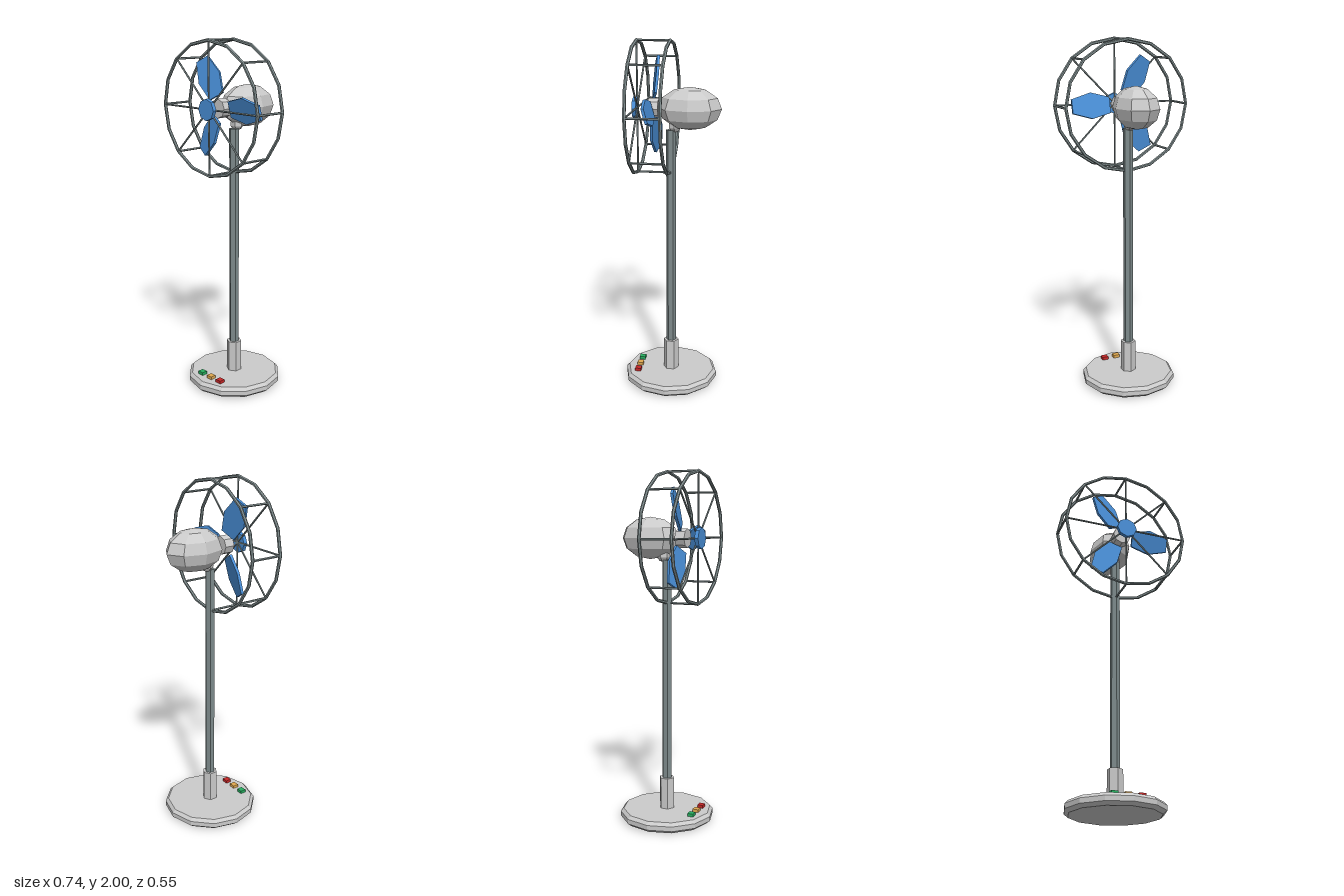
import * as THREE from 'three';

const paint = (color, extra = {}) => new THREE.MeshStandardMaterial({ color, flatShading: true, ...extra });
const grey = paint(0xcccccc), metal = paint(0x7f8c8d), blue = paint(0x4a90d9);
const FAN_Y = 1.63, RING_R = 0.362, BACK_Z = 0.005, FRONT_Z = 0.188;

function add(parent, name, geometry, material, x = 0, y = 0, z = 0) {
  const mesh = new THREE.Mesh(geometry, material);
  mesh.name = name;
  mesh.position.set(x, y, z);
  parent.add(mesh);
  return mesh;
}

// Cylinder whose axis runs along z
const disc = (r, depth, sides) => new THREE.CylinderGeometry(r, r, depth, sides).rotateX(Math.PI / 2);

// Pitched hexagonal blade pointing along +x
function bladeGeometry() {
  const outline = [[0.07, -0.045], [0.18, -0.073], [0.293, -0.04], [0.293, 0.04], [0.18, 0.073], [0.07, 0.045]];
  const shape = new THREE.Shape(outline.map(([x, y]) => new THREE.Vector2(x, y)));
  return new THREE.ExtrudeGeometry(shape, { depth: 0.015, bevelEnabled: false })
    .translate(0, 0, -0.0075)
    .rotateX(0.27);
}

export function createModel() {
  const model = new THREE.Group();
  model.name = 'standingFan';

  // Base with bevelled rim
  const rim = [[0, 0], [0.25, 0], [0.272, 0.018], [0.272, 0.045], [0.255, 0.063], [0, 0.063]];
  add(model, 'base', new THREE.LatheGeometry(rim.map(([r, y]) => new THREE.Vector2(r, y)), 12), grey);

  // Control buttons
  [['greenButton', 0x27ae60], ['orangeButton', 0xe0a850], ['redButton', 0xc62828]].forEach(([name, color], i) => {
    add(model, name, new THREE.BoxGeometry(0.037, 0.025, 0.034), paint(color), (i - 1) * 0.075, 0.068, 0.187);
  });

  // Stand
  add(model, 'collar', new THREE.CylinderGeometry(0.044, 0.044, 0.19, 6), grey, 0, 0.15, 0);
  add(model, 'pole', new THREE.CylinderGeometry(0.028, 0.028, 1.45, 6), metal, 0, 0.785, 0);
  add(model, 'neckJoint', new THREE.SphereGeometry(0.038, 6, 5), grey, 0, 1.535, -0.022);

  // Motor housing and hub
  add(model, 'motorHousing', new THREE.SphereGeometry(1, 8, 6).scale(0.12, 0.118, 0.175), grey, 0, FAN_Y, -0.103);
  add(model, 'hub', disc(0.053, 0.057, 8), grey, 0, FAN_Y, 0.0965);

  // Blades
  const blades = new THREE.Group();
  blades.name = 'blades';
  blades.position.set(0, FAN_Y, 0.0975);
  model.add(blades);
  for (let i = 0; i < 3; i++) {
    add(blades, 'blade', bladeGeometry(), blue).rotation.z = (i * Math.PI * 2) / 3;
  }

  // Cage: two rings, cross rods and front spokes
  const cage = new THREE.Group();
  cage.name = 'cage';
  cage.position.y = FAN_Y;
  model.add(cage);
  for (const z of [BACK_Z, FRONT_Z]) {
    add(cage, 'ring', new THREE.TorusGeometry(RING_R, 0.0095, 6, 16), metal, 0, 0, z);
  }
  for (let i = 0; i < 8; i++) {
    const arm = new THREE.Group();
    arm.name = 'cageArm';
    arm.rotation.z = (i * Math.PI) / 4;
    cage.add(arm);
    add(arm, 'rod', disc(0.0065, FRONT_Z - BACK_Z, 5), metal, RING_R, 0, (FRONT_Z + BACK_Z) / 2);
    add(arm, 'spoke', new THREE.CylinderGeometry(0.0055, 0.0055, 0.356, 5).rotateZ(Math.PI / 2), metal, 0.178, 0, FRONT_Z);
  }
  add(cage, 'frontCap', disc(0.059, 0.022, 8), blue, 0, 0, 0.199);

  return model;
}
